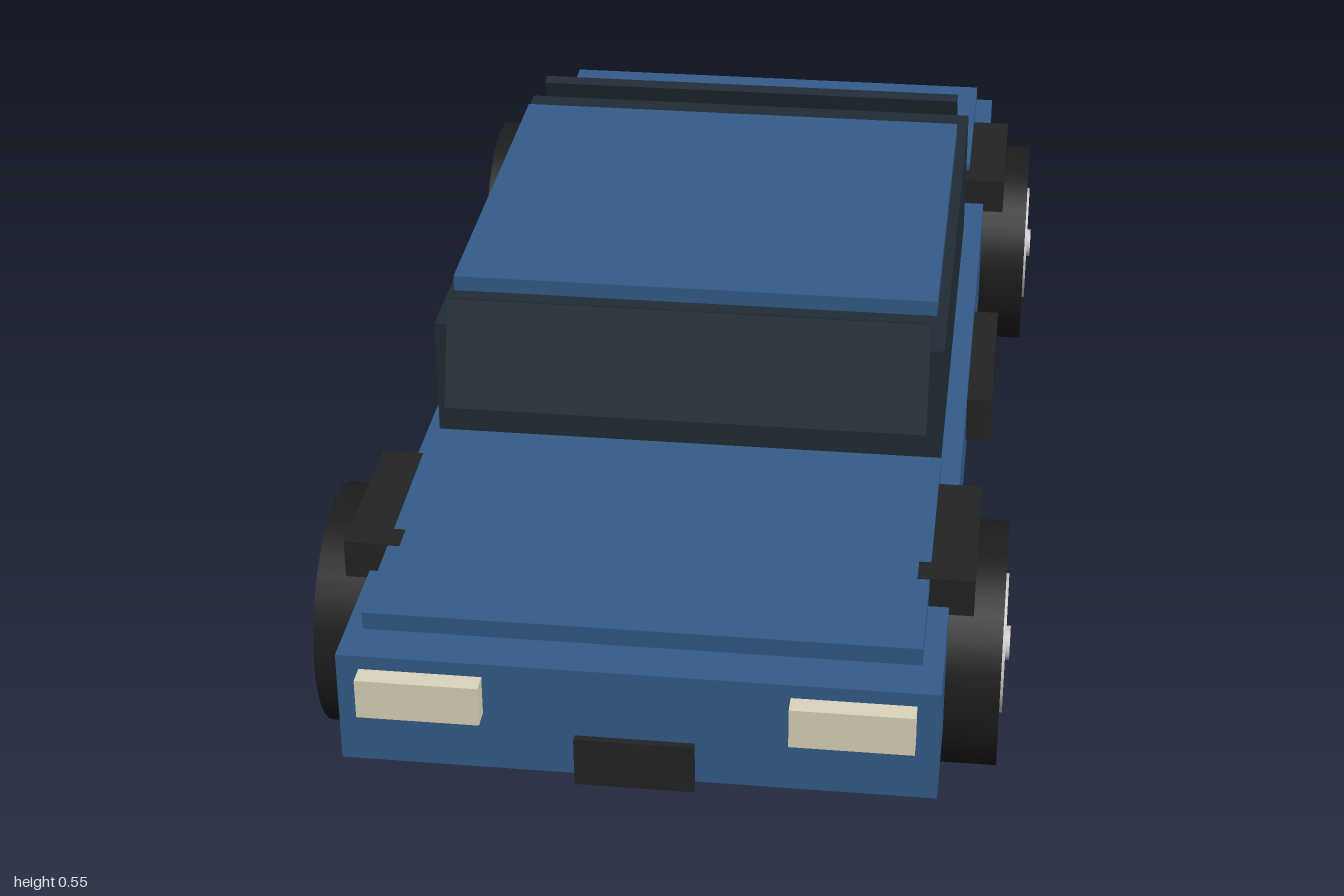
import * as THREE from 'three';

const mat = (color) => new THREE.MeshStandardMaterial({ color });

export function createModel() {
  const car = new THREE.Group();
  car.name = 'car';
  const paint = mat(0x335c8a), glass = mat(0x222c36), trim = mat(0x222426);
  const rubber = mat(0x1b1c1e), metal = mat(0xcccccc);
  const cream = mat(0xdcd4bc), red = mat(0x7d1a1c);

  // Box given by its size and centre, optionally tilted about x
  const box = (name, material, [w, h, d], [x, y, z], tilt = 0) => {
    const mesh = new THREE.Mesh(new THREE.BoxGeometry(w, h, d), material);
    mesh.name = name;
    mesh.position.set(x, y, z);
    mesh.rotation.x = tilt;
    car.add(mesh);
  };

  // Body, cabin and panels
  box('body', paint, [0.8, 0.165, 1.944], [0, 0.2225, 0]);
  box('cabin', glass, [0.74, 0.208, 0.84], [0, 0.409, 0.002]);
  box('roof', paint, [0.71, 0.023, 0.637], [0, 0.542, 0.029]);
  box('hood', paint, [0.745, 0.026, 0.47], [0, 0.337, 0.69], 0.03);
  box('trunkLid', paint, [0.745, 0.026, 0.347], [0, 0.345, -0.731]);

  // Leaning windscreens
  box('windshield', glass, [0.7, 0.16, 0.018], [0, 0.474, 0.436], -0.33);
  box('rearWindow', glass, [0.7, 0.152, 0.018], [0, 0.467, -0.452], 0.31);

  // Number plates stand just clear of the body
  for (const end of [1, -1])
    box(end > 0 ? 'frontPlate' : 'rearPlate', trim, [0.16, 0.072, 0.01], [0, 0.176, end * 0.991]);

  // Wheel disc turned to lie along x
  const disc = (name, material, radius, width) => {
    const geometry = new THREE.CylinderGeometry(radius, radius, width, 40);
    geometry.rotateZ(Math.PI / 2);
    const mesh = new THREE.Mesh(geometry, material);
    mesh.name = name;
    return mesh;
  };

  for (const side of [1, -1]) {
    const label = side > 0 ? 'left' : 'right';
    box(label + 'Headlight', cream, [0.165, 0.058, 0.03], [side * 0.287, 0.256, 0.985]);
    box(label + 'TailLight', red, [0.175, 0.074, 0.03], [side * 0.278, 0.272, -0.985]);
    box(label + 'SideTrim', trim, [0.04, 0.072, 0.295], [side * 0.418, 0.248, 0]);

    for (const end of [1, -1]) {
      const corner = label + (end > 0 ? 'Front' : 'Rear');
      box(corner + 'Fender', trim, [0.078, 0.058, 0.25], [side * 0.395, 0.32, end * 0.64]);

      const wheel = new THREE.Group();
      wheel.name = corner + 'Wheel';
      wheel.position.set(side * 0.41, 0.172, end * 0.643);
      wheel.add(disc('tyre', rubber, 0.172, 0.13));
      wheel.add(disc('rim', metal, 0.098, 0.138));
      wheel.add(disc('hubCap', metal, 0.024, 0.15));
      car.add(wheel);
    }
  }
  return car;
}
